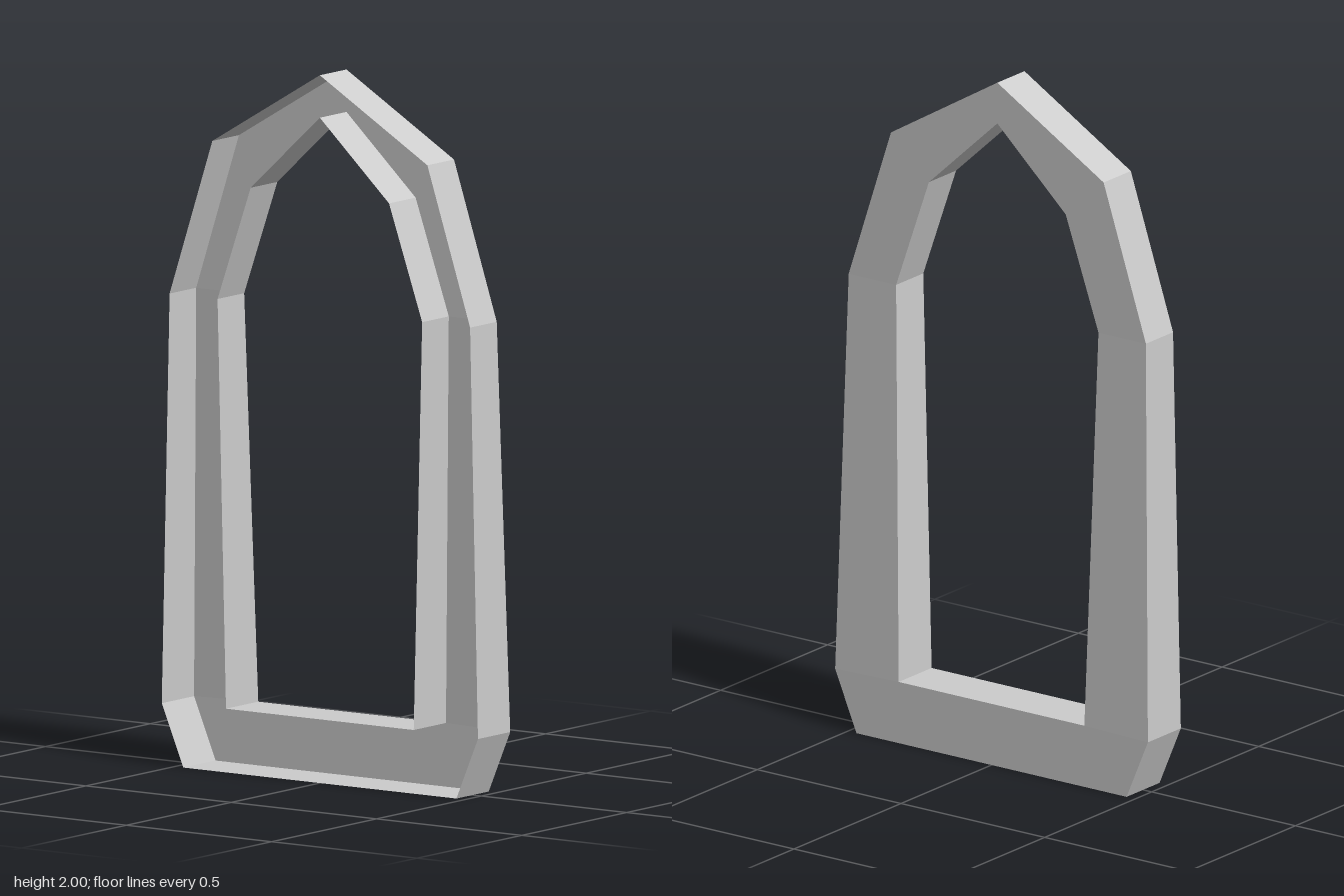
import * as THREE from 'three';

// Half of the arch from the peak down: outer z, y, inner z, y, x of the front face
const half = [
  [0, 2, 0, 1.88, 0.05],
  [0.37, 1.78, 0.238, 1.66, 0.05],
  [0.517, 1.335, 0.352, 1.335, 0.05],
  [0.544, 0.175, 0.323, 0.18, 0.077],
  [0.47, 0, 0.323, 0.18, 0.077],
];
const BACK = -0.077;

// Channel cross-section: outer wall, face, inner wall (open towards -x)
function section([oz, oy, iz, iy, x], side) {
  return [
    new THREE.Vector3(BACK, oy, oz * side),
    new THREE.Vector3(x, oy, oz * side),
    new THREE.Vector3(x, iy, iz * side),
    new THREE.Vector3(BACK, iy, iz * side),
  ];
}

function frameGeometry() {
  const ring = [
    ...half.map((h) => section(h, 1)),
    ...half.slice(1).reverse().map((h) => section(h, -1)),
  ];
  const pos = [];
  const tri = (a, b, c) => {
    if (new THREE.Triangle(a, b, c).getArea() < 1e-7) return;
    for (const p of [a, b, c]) pos.push(p.x, p.y, p.z);
  };
  ring.forEach((s, i) => {
    const n = ring[(i + 1) % ring.length];
    for (let k = 0; k < 3; k++) {
      tri(s[k], n[k], n[k + 1]);
      tri(s[k], n[k + 1], s[k + 1]);
    }
  });
  const geo = new THREE.BufferGeometry();
  geo.setAttribute('position', new THREE.Float32BufferAttribute(pos, 3));
  geo.computeVertexNormals();
  return geo;
}

export function createModel() {
  const group = new THREE.Group();
  group.name = 'archedWindowFrame';
  // Hollow frame, seen from inside through its open back
  const frame = new THREE.Mesh(
    frameGeometry(),
    new THREE.MeshStandardMaterial({ color: 0xcccccc, flatShading: true, side: THREE.DoubleSide }),
  );
  frame.name = 'frame';
  group.add(frame);
  return group;
}
